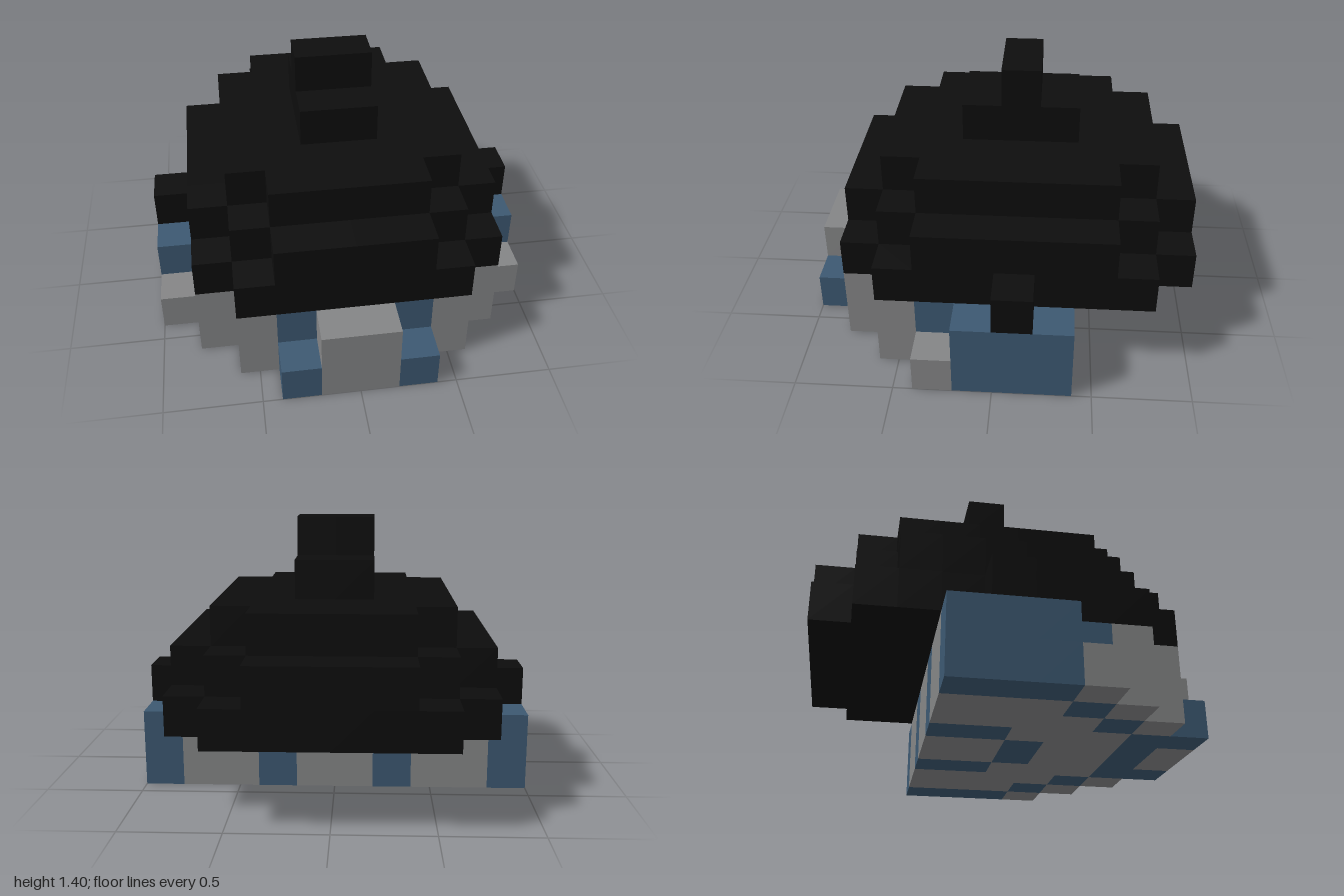
import * as THREE from 'three';
import { mergeGeometries } from 'three/addons/utils/BufferGeometryUtils.js';

const S = 0.2; // edge of one block

// Plan maps of the wall storeys: rows run from back (z = -0.4) to front, x from left to right of the row.
// B = blue block, G = grey block
const GROUND = [
  'BGGBGGBGGB',
  'BGGBGGBGGB',
  'BGGGBBGGGB',
  'GBGGGGGGBG',
  '.GBGGGGBG.',
  '..GBBBBG..',
  '...BGGB...',
];
const UPPER = [
  'BGGBGGBGGB',
  'BGGBGGBGGB',
  'BGGGBBGGGB',
  '.BGGGGGGB.',
  '.GBGGGGBG.',
  '..GBBBBG..',
  '....GG....',
];

// Dome tiers: [layer, half width, back z, front z] in blocks
const TIERS = [
  [2, 3, -5, 4], [2, 4, -4, 3], [2, 5, -1, 0],
  [3, 2, -5, 4], [3, 3, -4, 3], [3, 4, -3, 2],
  [4, 2, -4, 3], [4, 3, -3, 2],
];
// Crest on top of the dome
const CREST = [[5, 1, -2, 1], [6, 1, -1, 0]];

// The six face directions of a block with the turn that brings a +z plane there
const FACES = [
  [0, 0, 1, 0, 0], [0, 0, -1, 0, Math.PI],
  [1, 0, 0, 0, Math.PI / 2], [-1, 0, 0, 0, -Math.PI / 2],
  [0, 1, 0, -Math.PI / 2, 0], [0, -1, 0, Math.PI / 2, 0],
];

export function createModel() {
  const black = new THREE.MeshStandardMaterial({ name: 'black', color: 0x0d0d0d });
  const blue = new THREE.MeshStandardMaterial({ name: 'slate blue', color: 0x3c5871 });
  const grey = new THREE.MeshStandardMaterial({ name: 'grey', color: 0x848586 });
  const materials = { dome: black, crest: black, bluePanels: blue, greyWalls: grey };

  // Fill the block grid with part names
  const cells = new Map();
  const key = (x, y, z) => `${x},${y},${z}`;
  const put = (x, y, z, part) => cells.set(key(x, y, z), { x, y, z, part });

  [GROUND, UPPER].forEach((rows, y) => rows.forEach((row, r) => [...row].forEach((c, i) => {
    if (c !== '.') put(i - 5, y, r - 2, c === 'B' ? 'bluePanels' : 'greyWalls');
  })));

  const fill = (tiers, part) => {
    for (const [y, half, z0, z1] of tiers)
      for (let x = -half; x < half; x++)
        for (let z = z0; z < z1; z++) put(x, y, z, part);
  };
  fill(TIERS, 'dome');
  fill(CREST, 'crest');

  // Keep only the outer faces of every block
  const faces = { dome: [], crest: [], bluePanels: [], greyWalls: [] };
  for (const { x, y, z, part } of cells.values()) {
    for (const [dx, dy, dz, rx, ry] of FACES) {
      if (cells.has(key(x + dx, y + dy, z + dz))) continue;
      const face = new THREE.PlaneGeometry(S, S).rotateX(rx).rotateY(ry);
      face.translate((x + 0.5 + dx / 2) * S, (y + 0.5 + dy / 2) * S, (z + 0.5 + dz / 2) * S);
      faces[part].push(face);
    }
  }

  // One mesh per part
  const model = new THREE.Group();
  model.name = 'domedBlockModel';
  for (const part in faces) {
    const mesh = new THREE.Mesh(mergeGeometries(faces[part]), materials[part]);
    mesh.name = part;
    model.add(mesh);
  }
  return model;
}
